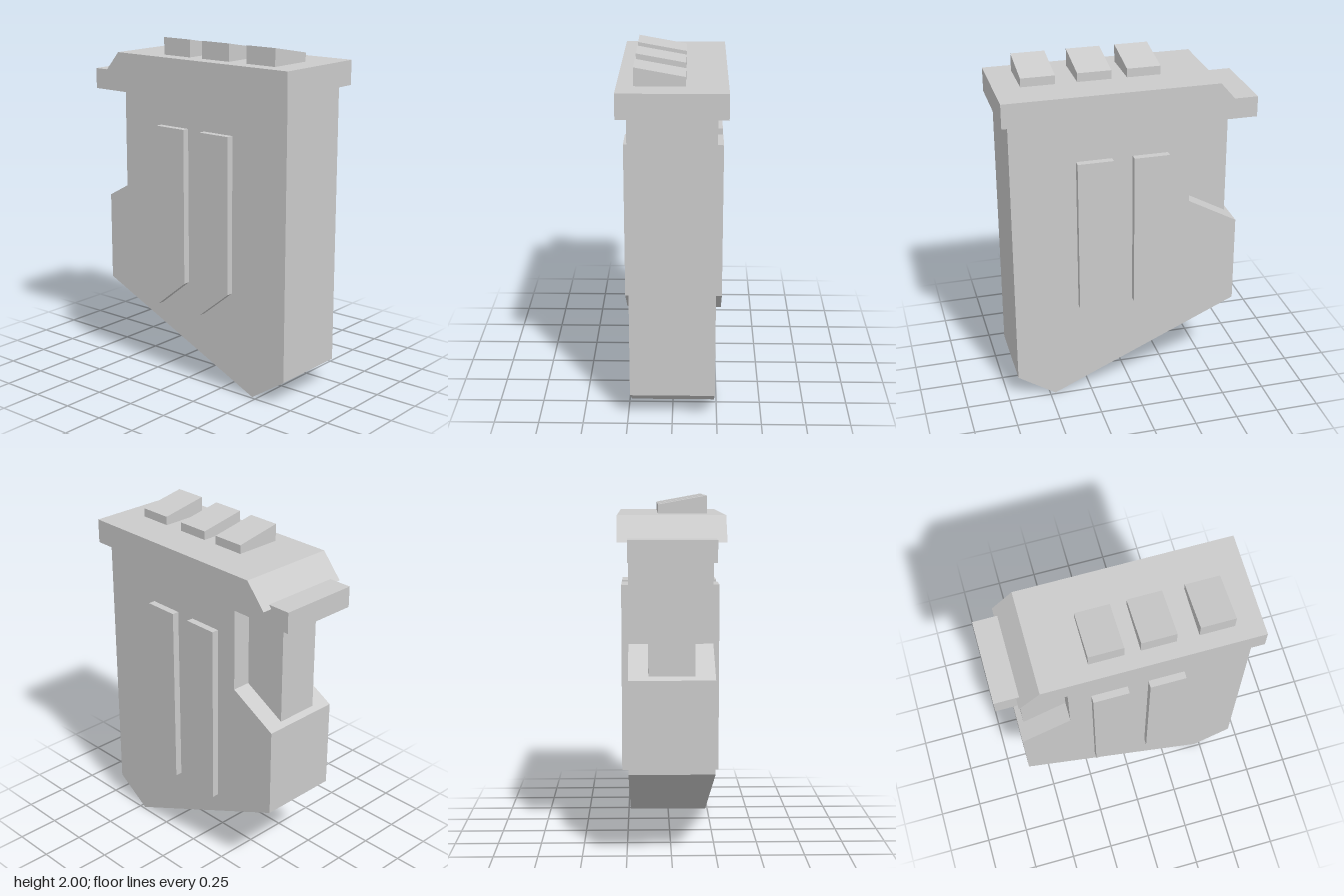
import * as THREE from 'three';

const material = new THREE.MeshStandardMaterial({ color: 0xcccccc, flatShading: true, side: THREE.DoubleSide });

// Extrudes an outline by a depth, centred on the extrusion axis
function extrude(points, depth) {
  const shape = new THREE.Shape(points.map(([a, b]) => new THREE.Vector2(a, b)));
  return new THREE.ExtrudeGeometry(shape, { depth, bevelEnabled: false }).translate(0, 0, -depth / 2);
}

// Side outline given as (z, y), extruded across x
const sideProfile = (points, width) => extrude(points, width).rotateY(-Math.PI / 2);

export function createModel() {
  const group = new THREE.Group();
  const add = (name, geometry, x = 0, y = 0, z = 0) => {
    const mesh = new THREE.Mesh(geometry, material);
    mesh.name = name;
    mesh.position.set(x, y, z);
    group.add(mesh);
  };

  // Main body with pointed underside and a notch at the back
  add('body', sideProfile([
    [0.69, 0.145], [0.47, 0], [-0.63, 0.5], [-0.63, 1.02],
    [-0.34, 1.18], [-0.34, 1.77], [0.69, 1.77],
  ], 0.476));

  // Overhanging lid, bevelled at the back
  add('lid', sideProfile([[0.73, 1.76], [0.73, 1.9], [-0.49, 1.9], [-0.61, 1.76]], 0.59));

  // Narrow post in the notch and the ledge above it
  add('backPost', new THREE.BoxGeometry(0.256, 0.74, 0.3), 0, 1.33, -0.447);
  add('backLedge', new THREE.BoxGeometry(0.476, 0.12, 0.43), 0, 1.72, -0.515);

  // Two raised ribs with slanted ends on each side
  for (const side of [-1, 1]) {
    for (const z of [0.318, -0.005]) {
      add(side > 0 ? 'leftRib' : 'rightRib', sideProfile([
        [z, 0.59], [z, 1.5], [z - 0.205, 1.5], [z - 0.205, 0.425],
      ], 0.06), side * 0.249);
    }
  }

  // Row of three wedge-shaped keys on the lid
  for (const z of [0.484, 0.168, -0.114]) {
    add('topWedge', extrude([[-0.205, 1.89], [0.07, 1.89], [0.07, 1.95], [-0.205, 2]], 0.193), 0, 0, z);
  }
  return group;
}
